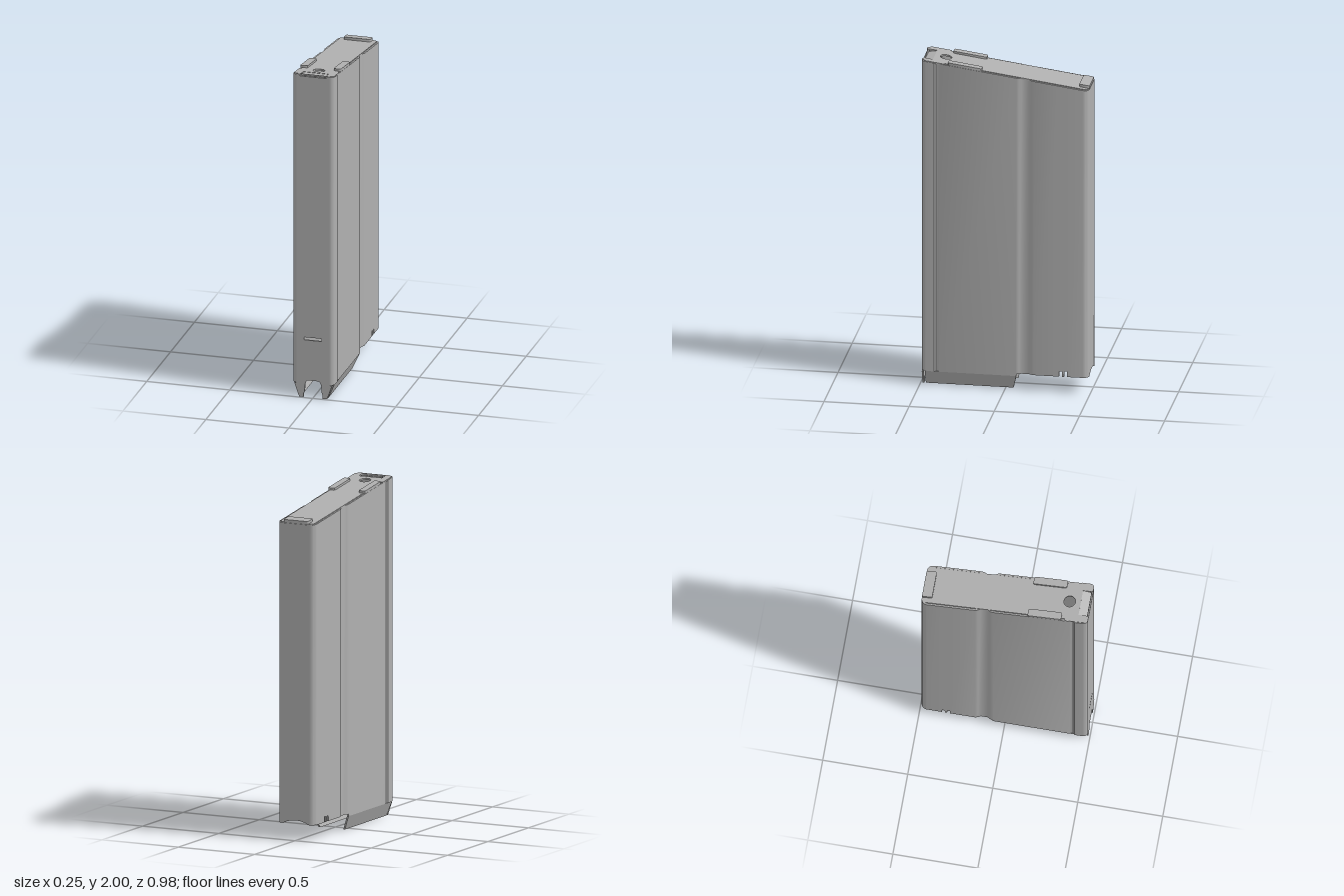
import * as THREE from 'three';
import { toCreasedNormals } from 'three/addons/utils/BufferGeometryUtils.js';

const T = 0.01; // sheet thickness
const steel = new THREE.MeshStandardMaterial({ color: 0xb0b0b0 });
steel.name = 'grey steel';

const topY = (z) => 1.935 + 0.136 * z; // slanted top plane

function arc(cx, cz, r, a0, a1, bottom) {
  return Array.from({ length: 7 }, (_, i) => {
    const a = a0 + (a1 - a0) * i / 6;
    return [cx + r * Math.cos(a), cz + r * Math.sin(a), bottom];
  });
}

// Half cross-section from front to back: [x, z, bottom edge height]
function halfProfile() {
  const w = 0.122;
  const pts = [
    ...arc(0.1, 0.465, 0.025, Math.PI / 2, 0, 0.088),
    [0.125, 0.415, 0.085], [0.117, 0.405, 0.085], [0.117, 0.395, 0.085], [w, 0.385, 0.085],
    [w, -0.065, 0.085], [w, -0.068, 0.097], [0.118, -0.082, 0.097], [0.109, -0.096, 0.097],
    [0.109, -0.14, 0.097], [0.118, -0.155, 0.097], [w, -0.17, 0.097],
  ];
  // small notches in the lower rear edge
  for (const z of [-0.318, -0.348]) {
    pts.push([w, z, 0.097], [w, z - 0.001, 0.13], [w, z - 0.016, 0.13], [w, z - 0.017, 0.097]);
  }
  pts.push(...arc(0.087, -0.455, 0.035, 0, -Math.PI / 2, 0.097));
  pts.push([0.06, -0.49, 0.108], [0.03, -0.49, 0.116], [0, -0.49, 0.118]);
  return pts;
}

// Hollow wall lofted from the cross-section, with inner skin and rims
function wallGeometry() {
  const half = halfProfile();
  const pts = [...half, ...half.slice(0, -1).reverse().map(([x, z, b]) => [-x, z, b])];
  const cols = pts.map(([x, z, b], i) => {
    const p = pts[Math.max(i - 1, 0)], n = pts[Math.min(i + 1, pts.length - 1)];
    const tx = n[0] - p[0], tz = n[1] - p[1], l = Math.hypot(tx, tz);
    const ix = x + T * tz / l, iz = z - T * tx / l, t = topY(z) - 0.004;
    return { ob: [x, b, z], ot: [x, t, z], ib: [ix, b, iz], it: [ix, t, iz] };
  });
  const pos = [];
  const quad = (a, b, c, d) => pos.push(...a, ...b, ...c, ...a, ...c, ...d);
  for (let i = 0; i < cols.length - 1; i++) {
    const p = cols[i], q = cols[i + 1];
    quad(p.ob, q.ob, q.ot, p.ot);
    quad(q.ib, p.ib, p.it, q.it);
    quad(p.ot, q.ot, q.it, p.it);
    quad(q.ob, p.ob, p.ib, q.ib);
  }
  const g = new THREE.BufferGeometry();
  g.setAttribute('position', new THREE.Float32BufferAttribute(pos, 3));
  return toCreasedNormals(g, 0.6);
}

function roundedRect(x0, y0, x1, y1, r, Kind = THREE.Shape) {
  const s = new Kind();
  s.absarc(x1 - r, y0 + r, r, -Math.PI / 2, 0);
  s.absarc(x1 - r, y1 - r, r, 0, Math.PI / 2);
  s.absarc(x0 + r, y1 - r, r, Math.PI / 2, Math.PI);
  s.absarc(x0 + r, y0 + r, r, Math.PI, Math.PI * 1.5);
  s.closePath();
  return s;
}

const extrude = (shape, depth) =>
  new THREE.ExtrudeGeometry(shape, { depth, bevelEnabled: false, curveSegments: 12 });

// Move every vertex by a rule, then rebuild normals
function bend(g, rule) {
  const p = g.attributes.position;
  for (let i = 0; i < p.count; i++) {
    p.setXYZ(i, ...rule(p.getX(i), p.getY(i), p.getZ(i)));
  }
  return toCreasedNormals(g, 0.6);
}

// Plate lying on the slanted top; shape is drawn in (x, -z)
function topPlate(shape, depth, lift) {
  const g = extrude(shape, depth).rotateX(-Math.PI / 2);
  return bend(g, (x, y, z) => [x, y + lift + topY(z), z]);
}

// Flat front panel with forked foot, witness slot and notched lip
function frontGeometry() {
  const s = new THREE.Shape();
  s.moveTo(0.1, 2);
  s.lineTo(0.08, 2);
  s.lineTo(0.08, 1.988);
  s.lineTo(-0.08, 1.988);
  s.lineTo(-0.08, 2);
  s.lineTo(-0.1, 2);
  s.lineTo(-0.1, 0.088);
  s.lineTo(-0.112, 0.08);
  s.lineTo(-0.084, 0);
  s.lineTo(-0.058, 0);
  s.lineTo(-0.058, 0.02);
  s.quadraticCurveTo(-0.05, 0.035, -0.05, 0.06);
  s.quadraticCurveTo(-0.05, 0.105, -0.025, 0.105);
  s.lineTo(0.025, 0.105);
  s.quadraticCurveTo(0.05, 0.105, 0.05, 0.06);
  s.quadraticCurveTo(0.05, 0.035, 0.058, 0.02);
  s.lineTo(0.058, 0);
  s.lineTo(0.084, 0);
  s.lineTo(0.112, 0.08);
  s.lineTo(0.1, 0.088);
  s.holes.push(roundedRect(-0.055, 0.354, 0.052, 0.371, 0.006, THREE.Path));
  return toCreasedNormals(extrude(s, T).translate(0, 0, 0.49 - T), 0.6);
}

// Lid, wider at the front, with a round hole and a front window
function lidGeometry() {
  const s = new THREE.Shape();
  [[-0.11, 0.47], [-0.11, -0.355], [-0.121, -0.355], [-0.121, -0.468], [-0.1, -0.484],
    [0.1, -0.484], [0.121, -0.468], [0.121, -0.355], [0.11, -0.355], [0.11, 0.47],
    [0.09, 0.484], [-0.09, 0.484]].forEach(([x, y], i) => (i ? s.lineTo(x, y) : s.moveTo(x, y)));
  const hole = new THREE.Path();
  hole.absarc(0, -0.365, 0.034, 0, Math.PI * 2);
  s.holes.push(hole, roundedRect(-0.076, -0.48, 0.076, -0.43, 0.002, THREE.Path));
  return topPlate(s, T, -T);
}

// Side flap below the wall, leaning inward towards the floor
function flapGeometry(side) {
  const s = new THREE.Shape();
  s.moveTo(-0.47, 0);
  s.lineTo(0.045, 0);
  s.lineTo(0.067, 0.087);
  s.lineTo(-0.47, 0.087);
  const g = extrude(s, T).rotateY(Math.PI / 2); // shape x becomes -z, depth becomes +x
  const base = side > 0 ? 0.122 - T : -0.122;
  return bend(g, (x, y, z) => [x + base - side * (0.087 - y) * 0.42, y, z]);
}

export function createModel() {
  const model = new THREE.Group();
  model.name = 'sheetMetalCase';
  const add = (name, geometry) => {
    const m = new THREE.Mesh(geometry, steel);
    m.name = name;
    model.add(m);
    return m;
  };

  add('caseWall', wallGeometry());
  add('frontPanel', frontGeometry());
  add('lid', lidGeometry());

  // Ramp sunk in the front window of the lid
  const ramp = roundedRect(-0.076, -0.482, 0.076, -0.43, 0.002);
  const rampGeo = extrude(ramp, 0.006).rotateX(-Math.PI / 2);
  add('lidRamp', bend(rampGeo, (x, y, z) => [x, y + topY(z) - 0.008 - (z - 0.43) * 0.3, z]));

  // Folded tabs holding the lid
  add('backTab', topPlate(roundedRect(-0.08, 0.43, 0.08, 0.49, 0.008), 0.016, 0));
  for (const side of [1, -1]) {
    const label = side > 0 ? 'left' : 'right';
    const [x0, x1] = side > 0 ? [0.078, 0.122] : [-0.122, -0.078];
    add(label + 'LidTab', topPlate(roundedRect(x0, -0.335, x1, -0.137, 0.01), 0.016, -0.003));
    add(label + 'LowerFlap', flapGeometry(side));
  }
  return model;
}
